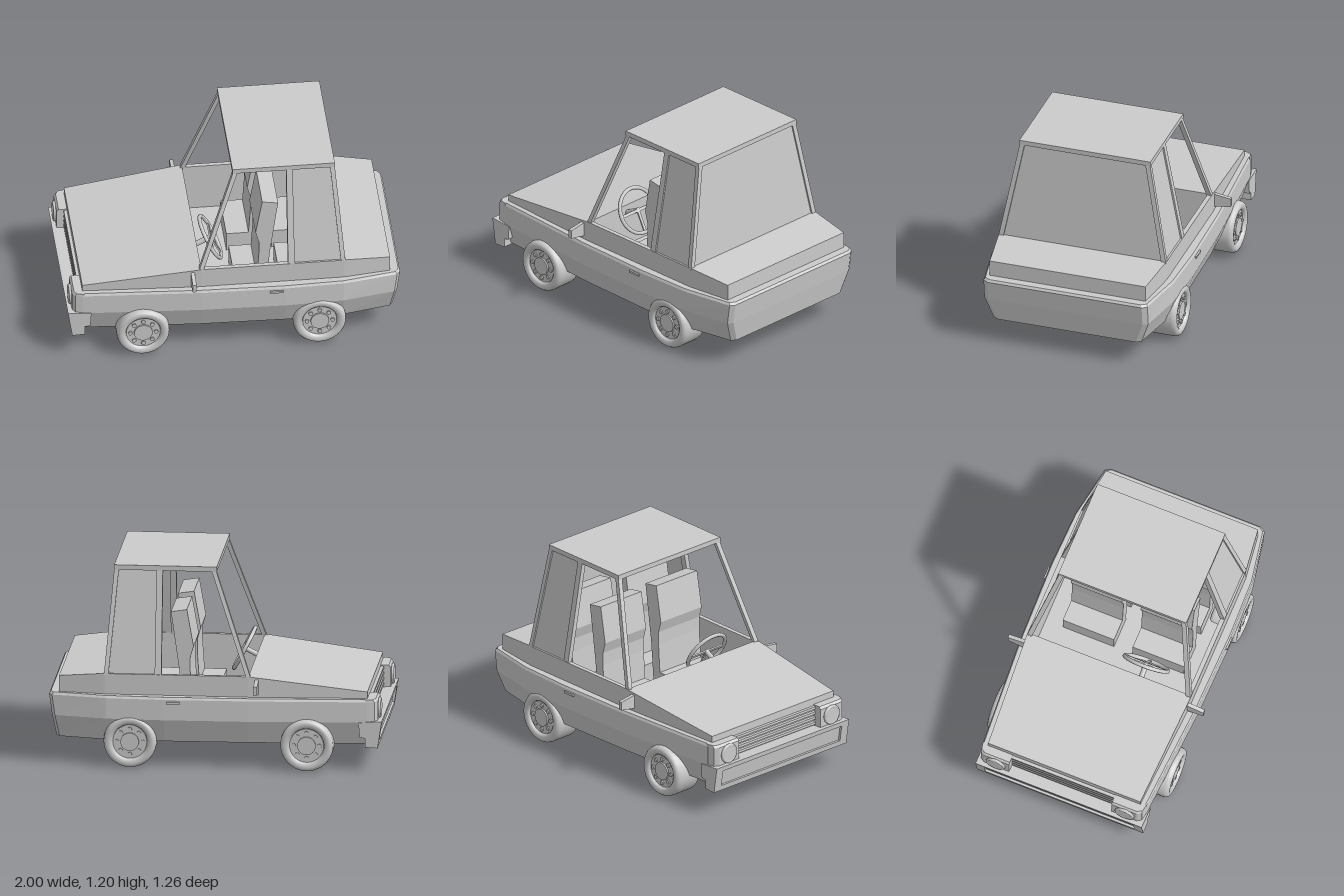
import * as THREE from 'three';

const grey = new THREE.MeshStandardMaterial({ color: 0xcccccc, flatShading: true, side: THREE.DoubleSide });
const smooth = new THREE.MeshStandardMaterial({ color: 0xcccccc, side: THREE.DoubleSide });

// Skin through rings of [x, y, z] points; ends are capped, the last one optionally left open
function loft(rings, openEnd = false) {
  const n = rings[0].length, last = rings.length - 1, tris = [];
  for (let r = 0; r < last; r++) {
    for (let i = 0; i < n; i++) {
      const j = (i + 1) % n, a = rings[r][i], b = rings[r][j], c = rings[r + 1][j], d = rings[r + 1][i];
      tris.push([a, b, c], [a, c, d]);
    }
  }
  for (let i = 1; i < n - 1; i++) tris.push([rings[0][0], rings[0][i + 1], rings[0][i]]);
  for (let i = 1; i < n - 1; i++) tris.push([rings[last][0], rings[last][i], rings[last][i + 1]]);
  // Signed volume tells whether the faces point outward
  let volume = 0;
  for (const [a, b, c] of tris) {
    volume += a[0] * (b[1] * c[2] - b[2] * c[1]) + a[1] * (b[2] * c[0] - b[0] * c[2]) + a[2] * (b[0] * c[1] - b[1] * c[0]);
  }
  if (openEnd) tris.length -= n - 2;
  const flat = tris.flatMap(([a, b, c]) => (volume > 0 ? [...a, ...b, ...c] : [...a, ...c, ...b]));
  const geo = new THREE.BufferGeometry();
  geo.setAttribute('position', new THREE.Float32BufferAttribute(flat, 3));
  geo.computeVertexNormals();
  return geo;
}

function add(parent, name, geo, x = 0, y = 0, z = 0, mat = grey) {
  const mesh = new THREE.Mesh(geo, mat);
  mesh.name = name;
  mesh.position.set(x, y, z);
  parent.add(mesh);
  return mesh;
}

const box = (w, h, d) => new THREE.BoxGeometry(w, h, d);

// Cross-section at x of a block running along the car
const section = (x, half, y0, y1) => [[x, y0, -half], [x, y0, half], [x, y1, half], [x, y1, -half]];

// Cabin levels and a post that leans with the cabin side
const BELT = 0.565, HEAD = 1.178;
function post(side, bottom, top, depth = 0.03, inset = 0) {
  const ring = ([x0, x1], y, z) => [[x0, y, side * z], [x1, y, side * z], [x1, y, side * (z - depth)], [x0, y, side * (z - depth)]];
  return loft([ring(bottom, BELT - 0.01, 0.527 - inset), ring(top, HEAD, 0.41 - inset)]);
}

function profile(points, depth) {
  const shape = new THREE.Shape(points.map(([x, y]) => new THREE.Vector2(x, y)));
  return new THREE.ExtrudeGeometry(shape, { depth, bevelEnabled: false }).translate(0, 0, -depth / 2);
}

function makeWheel(side) {
  const wheel = new THREE.Group();
  wheel.name = 'wheel';
  const pts = [[0.1, -0.09], [0.148, -0.09], [0.156, -0.08], [0.158, -0.065], [0.158, 0.06], [0.155, 0.075],
    [0.147, 0.087], [0.135, 0.092], [0.118, 0.09], [0.107, 0.082], [0.103, 0.066], [0.1, 0.066], [0.1, -0.09]];
  const lathe = new THREE.LatheGeometry(pts.map(([r, y]) => new THREE.Vector2(r, y)), 40).rotateX(Math.PI / 2);
  add(wheel, 'tyre', lathe, 0, 0, 0, smooth);
  const disc = (r, d, sides) => new THREE.CylinderGeometry(r, r, d, sides).rotateX(Math.PI / 2);
  add(wheel, 'rim', disc(0.102, 0.02, 40), 0, 0, 0.062);
  add(wheel, 'hubCap', disc(0.055, 0.02, 32), 0, 0, 0.072);
  for (let i = 0; i < 8; i++) {
    const a = i * Math.PI / 4;
    add(wheel, 'wheelNut', disc(0.013, 0.016, 12), 0.077 * Math.cos(a), 0.077 * Math.sin(a), 0.072);
  }
  if (side < 0) wheel.rotation.y = Math.PI;
  return wheel;
}

function makeSeat(x, z) {
  const seat = new THREE.Group();
  seat.name = 'seat';
  add(seat, 'backrest', profile([[0.14, 0.26], [0.16, 0.56], [0.16, 0.64], [0.14, 0.71], [0.18, 0.935], [0.275, 0.92], [0.225, 0.56], [0.2, 0.26]], 0.33));
  add(seat, 'cushion', box(0.17, 0.13, 0.33), 0.1, 0.315, 0);
  seat.position.set(x, 0, z);
  return seat;
}

export function createModel() {
  const car = new THREE.Group();
  car.name = 'car';

  // Lower body: one plan outline repeated at several heights
  const half = [[-0.91, 0.527], [-0.55, 0.55], [-0.2, 0.572], [0.3, 0.583], [0.65, 0.572], [0.975, 0.515], [0.995, 0.485]];
  const ring = (y, dz, rear, front = 0) => {
    const side = half.map(([x, z]) => [x > 0.9 ? x - rear : x < -0.9 ? x + front : x, y, z - dz]);
    return [...side, ...side.map(([x, py, z]) => [x, py, -z]).reverse()];
  };
  add(car, 'lowerBody', loft([ring(0.16, 0.05, 0.04), ring(0.3, 0, 0.017), ring(0.425, 0, 0),
    ring(0.44, 0.008, 0.01), ring(0.44, 0.06, 0.08)], true));

  // Upper body: hood, trunk, door sills and the sunken cabin floor
  add(car, 'hood', loft([section(-0.91, 0.49, 0.3, 0.48), section(-0.2, 0.528, 0.3, BELT)]));
  add(car, 'trunk', loft([section(0.64, 0.527, 0.3, BELT), section(0.665, 0.525, 0.3, BELT), section(0.935, 0.49, 0.3, 0.538)]));
  add(car, 'cabinFloor', box(0.9, 0.02, 1.02), 0.22, 0.25, 0);
  for (const s of [-1, 1]) add(car, 'doorSill', box(0.87, 0.315, 0.027), 0.22, BELT - 0.1575, s * 0.5135);

  // Cabin: roof, posts and solid rear glazing
  add(car, 'roof', box(0.614, 0.03, 0.824), 0.306, 1.191, 0);
  for (const s of [-1, 1]) {
    add(car, 'frontPost', post(s, [-0.215, -0.188], [0.002, 0.029]));
    add(car, 'middlePost', post(s, [0.32, 0.36], [0.322, 0.36]));
    add(car, 'rearPost', post(s, [0.637, 0.664], [0.585, 0.613]));
    add(car, 'rearSideWindow', post(s, [0.35, 0.645], [0.35, 0.595], 0.01, 0.01));
  }
  add(car, 'rearWindow', loft([
    [[0.642, 0.55, -0.51], [0.654, 0.55, -0.51], [0.654, 0.55, 0.51], [0.642, 0.55, 0.51]],
    [[0.591, HEAD, -0.395], [0.603, HEAD, -0.395], [0.603, HEAD, 0.395], [0.591, HEAD, 0.395]]]));

  // Seats
  for (const x of [0, 0.27]) for (const z of [-0.225, 0.225]) car.add(makeSeat(x, z));

  // Steering wheel with three spokes and a column
  const steering = new THREE.Group();
  steering.name = 'steeringWheel';
  add(steering, 'steeringRim', new THREE.TorusGeometry(0.138, 0.012, 8, 32).rotateY(Math.PI / 2), 0, 0, 0, smooth);
  add(steering, 'crossSpoke', box(0.01, 0.018, 0.27));
  add(steering, 'lowerSpoke', box(0.01, 0.135, 0.018), 0, -0.068, 0);
  add(steering, 'steeringColumn', new THREE.CylinderGeometry(0.016, 0.016, 0.16, 12).rotateZ(Math.PI / 2), -0.075, 0, 0, smooth);
  steering.position.set(-0.11, 0.56, 0.2);
  steering.rotation.z = 0.48;
  car.add(steering);

  // Headlights in housings at the front corners
  for (const s of [-1, 1]) {
    const plan = [[-0.9, 0.33], [-0.9, 0.527], [-0.955, 0.518], [-0.972, 0.49], [-0.972, 0.33]];
    const level = (y, dx) => plan.map(([x, z]) => [x < -0.91 ? x + dx : x, y, s * z]);
    add(car, 'headlightHousing', loft([level(0.28, 0), level(0.425, 0), level(0.44, 0.012)]));
    add(car, 'headlightRing', new THREE.TorusGeometry(0.052, 0.01, 8, 28).rotateY(Math.PI / 2), -0.977, 0.37, s * 0.415, smooth);
    add(car, 'headlightLens', new THREE.CylinderGeometry(0.052, 0.04, 0.016, 28).rotateZ(Math.PI / 2), -0.977, 0.37, s * 0.415);
  }

  // Grille slats
  for (let i = 0; i < 4; i++) add(car, 'grilleSlat', box(0.025, 0.016, 0.66), -0.917, 0.325 + i * 0.033, 0);

  // Front bumper with a raised frame on its sloping face
  add(car, 'frontBumper', profile([[-0.985, 0.31], [-0.96, 0.147], [-0.9, 0.15], [-0.9, 0.205], [-0.867, 0.212], [-0.86, 0.3]], 1.07));
  const rect = (Type, w, y0, y1) => new Type([[-w, y0], [w, y0], [w, y1], [-w, y1]].map(([x, y]) => new THREE.Vector2(x, y)));
  const face = rect(THREE.Shape, 0.535, 0.147, 0.31);
  face.holes.push(rect(THREE.Path, 0.48, 0.18, 0.28));
  const frame = new THREE.ExtrudeGeometry(face, { depth: 0.017, bevelEnabled: false }).rotateY(-Math.PI / 2);
  const p = frame.attributes.position;
  for (let i = 0; i < p.count; i++) p.setX(i, p.getX(i) - 0.983 + (0.31 - p.getY(i)) * 0.153);
  add(car, 'bumperFrame', frame);

  // Mirrors, door handles and wheels
  for (const s of [-1, 1]) {
    const slice = (z, y0, y1) => [[-0.263, y0, s * z], [-0.24, y0, s * z], [-0.24, y1, s * z], [-0.263, y1, s * z]];
    add(car, 'sideMirror', loft([slice(0.51, 0.457, 0.548), slice(0.63, 0.478, 0.53)]));
    add(car, 'doorHandle', box(0.08, 0.013, 0.025), 0.245, 0.407, s * 0.58);
    for (const x of [-0.553, 0.505]) {
      const wheel = makeWheel(s);
      wheel.position.set(x, 0.16, s * 0.493);
      car.add(wheel);
    }
  }
  return car;
}
